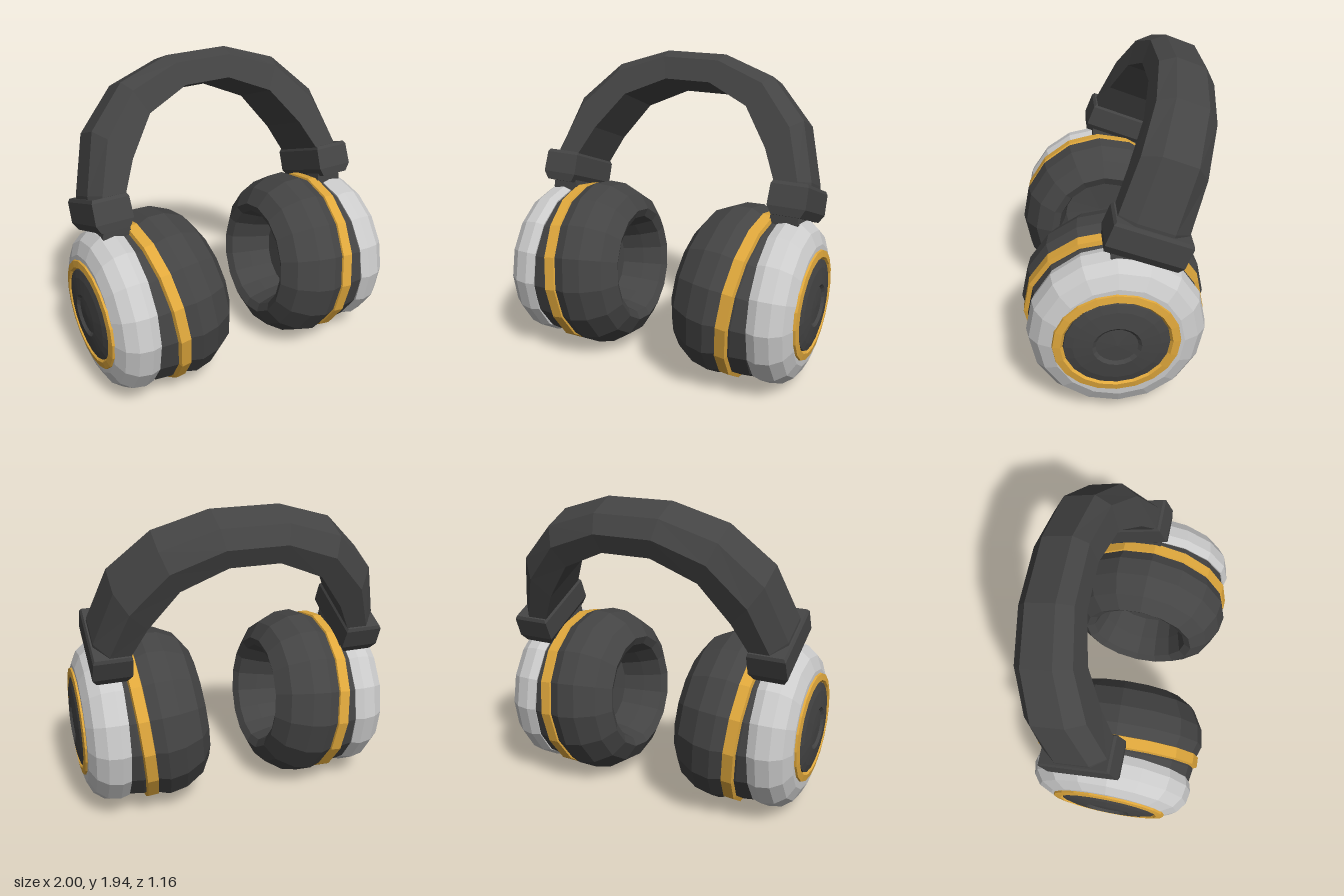
import * as THREE from 'three';

const mat = (color) => new THREE.MeshStandardMaterial({ color, flatShading: true });

// Skin a list of equal-length vertex rings and cap both ends
function loft(rings) {
  const n = rings[0].length, last = rings.length - 1, index = [];
  for (let i = 0; i < last; i++) {
    for (let j = 0; j < n; j++) {
      const k = (j + 1) % n;
      const a = i * n + j, b = i * n + k, c = b + n, d = a + n;
      index.push(a, b, c, a, c, d);
    }
  }
  for (let j = 1; j < n - 1; j++) {
    index.push(0, j + 1, j);
    index.push(last * n, last * n + j, last * n + j + 1);
  }
  const geo = new THREE.BufferGeometry();
  geo.setAttribute('position', new THREE.Float32BufferAttribute(rings.flat(2), 3));
  geo.setIndex(index);
  geo.computeVertexNormals();
  return geo;
}

// Rectangular block lofted upwards from [height, halfWidth, halfDepth] levels
const block = (x, levels) => loft(levels.map(([y, w, d]) =>
  [[x + w, y, d], [x + w, y, -d], [x - w, y, -d], [x - w, y, d]]));

// Profiles are [radius, distance along the cup axis], running outwards
const lathe = (profile, sides = 16) =>
  new THREE.LatheGeometry(profile.map(([r, a]) => new THREE.Vector2(r, a)), sides);

export function createModel() {
  const model = new THREE.Group();
  model.name = 'headphones';
  const dark = mat(0x444444), gold = mat(0xe0a83c), grey = mat(0xcccccc);

  const add = (parent, name, geo, material) => {
    const mesh = new THREE.Mesh(geo, material);
    mesh.name = name;
    parent.add(mesh);
    return mesh;
  };

  // Ear cushion, trim and core share an axis that tips the pad inwards at the bottom
  const cushion = lathe([[0, -0.1], [0.25, -0.12], [0.28, -0.26], [0.32, -0.38], [0.37, -0.405],
    [0.47, -0.34], [0.535, -0.22], [0.55, -0.11], [0.52, -0.03], [0.5, 0]]);
  const trim = lathe([[0.5, -0.045], [0.535, -0.035], [0.535, 0.03], [0.5, 0.04]]);
  const core = lathe([[0.5, -0.02], [0.51, 0.05], [0.49, 0.15], [0.42, 0.22]]);
  // Outer shell and its round cap
  const shell = lathe([[0.4, 0.74], [0.505, 0.725], [0.52, 0.78], [0.505, 0.86], [0.455, 0.925],
    [0.375, 0.962], [0.3, 0.965]]);
  const capRing = lathe([[0.37, 0.94], [0.362, 0.975], [0.318, 0.982], [0.295, 0.955]], 20);
  const cap = lathe([[0.31, 0.94], [0.3, 0.975], [0.25, 0.988], [0.14, 1], [0.12, 0.984], [0, 0.99]], 20);

  for (const s of [1, -1]) {
    const side = s > 0 ? 'left' : 'right';
    const pad = new THREE.Group();
    pad.name = side + 'EarPad';
    pad.position.set(s * 0.605, 0.54, 0.035);
    pad.rotation.y = -s * 0.04;
    model.add(pad);
    for (const [name, geo, m] of [['Cushion', cushion, dark], ['TrimRing', trim, gold], ['CupCore', core, dark]]) {
      add(pad, side + name, geo, m).rotation.z = -s * (Math.PI / 2 + 0.1);
    }

    const outer = new THREE.Group();
    outer.name = side + 'OuterCup';
    outer.position.set(0, 0.54, 0.035);
    model.add(outer);
    for (const [name, geo, m, squash] of [['Shell', shell, grey, 1], ['CapRing', capRing, gold, 0.92], ['Cap', cap, dark, 0.92]]) {
      const mesh = add(outer, side + name, geo, m);
      mesh.rotation.z = -s * Math.PI / 2;
      mesh.scale.x = squash;
      if (squash < 1) mesh.position.set(0, 0.01, 0.012);
    }
  }

  // Headband assembly leans backwards
  const head = new THREE.Group();
  head.name = 'headbandAssembly';
  head.position.set(0, 1.12, -0.13);
  head.rotation.x = -0.385;
  model.add(head);

  // Band stations: outer x, y, inner x, y, half width
  const half = [
    [0.885, -0.02, 0.69, -0.02, 0.215],
    [0.88, 0.12, 0.685, 0.08, 0.215],
    [0.77, 0.48, 0.59, 0.28, 0.205],
    [0.53, 0.73, 0.42, 0.52, 0.19],
    [0.2, 0.845, 0.15, 0.645, 0.18],
  ];
  const stations = [...half, ...half.map(([a, b, c, d, h]) => [-a, b, -c, d, h]).reverse()];
  // Flat inside, chamfered outside
  const section = [[0, -1], [0, 1], [0.7, 1], [1, 0.55], [1, -0.5], [0.6, -1]];
  add(head, 'headband', loft(stations.map(([ox, oy, ix, iy, h]) =>
    section.map(([t, w]) => [ix + (ox - ix) * t, iy + (oy - iy) * t, w * h]))), dark);

  // Clamps at the band ends and the necks that join them to the cups
  for (const s of [1, -1]) {
    const side = s > 0 ? 'left' : 'right';
    add(head, side + 'Clamp', block(s * 0.785,
      [[-0.1, 0.09, 0.22], [-0.05, 0.118, 0.235], [0.08, 0.115, 0.235], [0.1, 0.105, 0.225]]), dark);
    add(head, side + 'Neck', block(s * 0.765,
      [[-0.22, 0.07, 0.13], [-0.14, 0.09, 0.16], [-0.08, 0.08, 0.18]]), dark);
  }

  return model;
}
